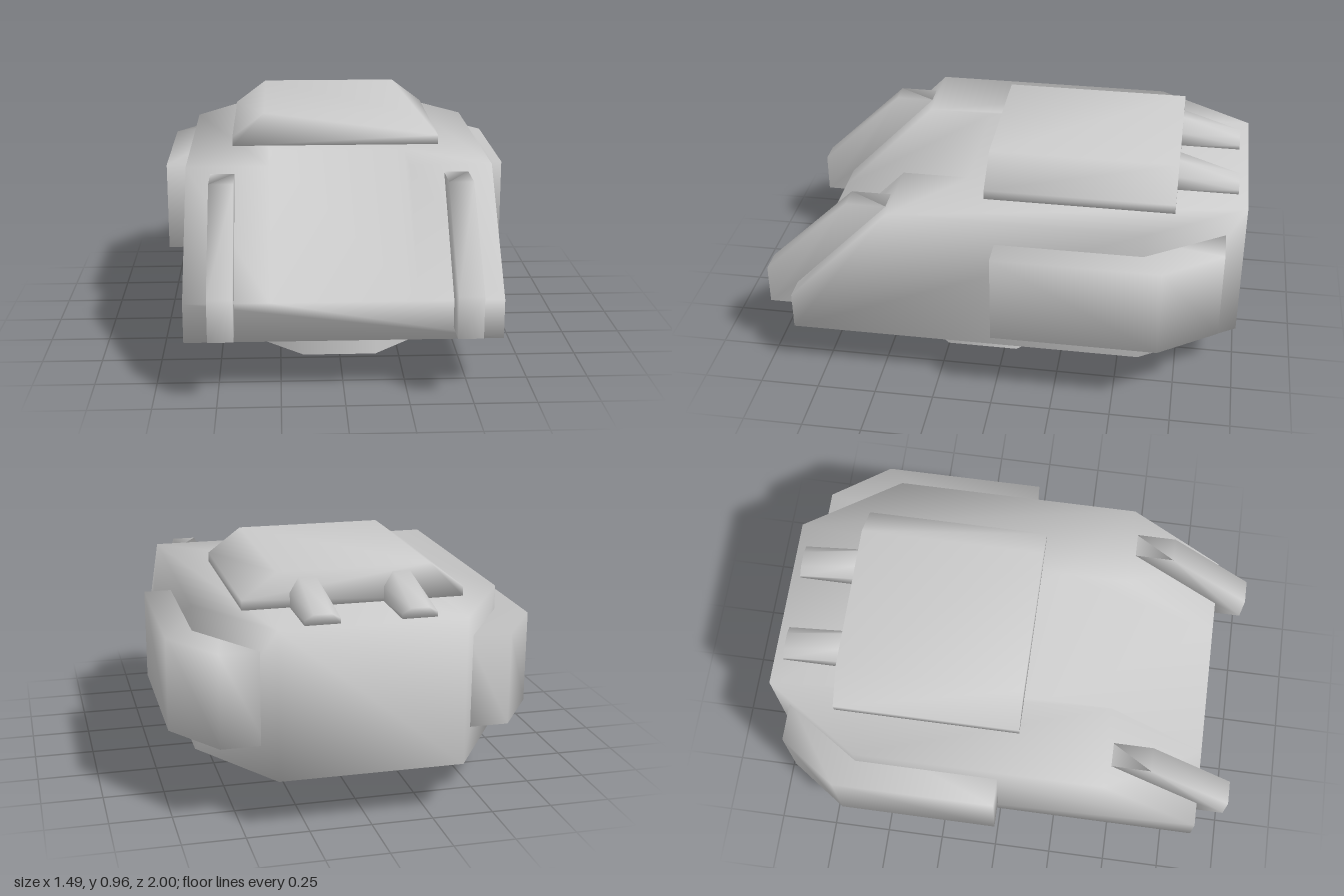
import * as THREE from 'three';
import { mergeVertices } from 'three/addons/utils/BufferGeometryUtils.js';

const material = new THREE.MeshStandardMaterial({ color: 0xcccccc });
const openMaterial = new THREE.MeshStandardMaterial({ color: 0xcccccc, side: THREE.DoubleSide });

// Share corners so the normals run smoothly over the whole part
function smooth(geometry) {
  geometry.deleteAttribute('normal');
  geometry.deleteAttribute('uv');
  const merged = mergeVertices(geometry, 1e-4);
  merged.computeVertexNormals();
  return merged;
}

// Fan-triangulate a list of convex polygons, corners counter-clockwise from outside
function fromPolygons(polygons) {
  const positions = [];
  for (const p of polygons) {
    for (let i = 1; i < p.length - 1; i++) positions.push(...p[0], ...p[i], ...p[i + 1]);
  }
  const geometry = new THREE.BufferGeometry();
  geometry.setAttribute('position', new THREE.Float32BufferAttribute(positions, 3));
  return smooth(geometry);
}

// Straight prism along +z from an outline in x and y
function prism(points, depth) {
  const shape = new THREE.Shape(points.map(([x, y]) => new THREE.Vector2(x, y)));
  return new THREE.ExtrudeGeometry(shape, { depth, bevelEnabled: false });
}

function hullGeometry() {
  const corners = {
    noseLow: [0.63, 0.22, 0.87], noseHigh: [0.63, 0.38, 0.87], brow: [0.63, 0.82, 0.44],
    sideHigh: [0.63, 0.82, -0.6], sideLow: [0.63, 0.22, -0.6],
    tailHigh: [0.37, 0.82, -1], tailLow: [0.37, 0.22, -1],
    grooveNose: [0.29, 0.38, 0.87], grooveBrow: [0.29, 0.82, 0.44], grooveEnd: [0.29, 0.82, 0.16],
  };
  const at = (name, s) => [corners[name][0] * s, corners[name][1], corners[name][2]];
  const polygons = [];
  // Faces that occur on both sides
  const sideFaces = [
    ['noseLow', 'sideLow', 'sideHigh', 'brow', 'noseHigh'],
    ['sideLow', 'tailLow', 'tailHigh', 'sideHigh'],
    ['noseHigh', 'brow', 'grooveBrow', 'grooveNose'],
    ['brow', 'sideHigh', 'tailHigh', 'grooveEnd', 'grooveBrow'],
    ['grooveNose', 'grooveBrow', 'grooveEnd'],
  ];
  for (const s of [1, -1]) {
    for (const face of sideFaces) {
      const p = face.map((name) => at(name, s));
      polygons.push(s > 0 ? p : p.reverse());
    }
  }
  // Faces across the middle: left half forwards, right half mirrored back
  const middleFaces = [
    ['grooveNose', 'grooveEnd'],
    ['grooveEnd', 'tailHigh'],
    ['tailHigh', 'tailLow'],
    ['tailLow', 'sideLow', 'noseLow'],
    ['noseLow', 'noseHigh', 'grooveNose'],
  ];
  for (const face of middleFaces) {
    polygons.push([
      ...face.map((name) => at(name, 1)),
      ...[...face].reverse().map((name) => at(name, -1)),
    ]);
  }
  return fromPolygons(polygons);
}

// Chamfered vent that drops towards the tail
function ventGeometry() {
  const section = (h, z) => [[0.07, 0], [0.07, 0.5 * h], [0.035, h], [-0.035, h], [-0.07, 0.5 * h], [-0.07, 0]]
    .map(([x, y]) => [x, 0.82 + y, z]);
  const front = section(0.12, -0.71);
  const back = section(0.04, -0.96);
  const polygons = [front, [...back].reverse()];
  for (let i = 0; i < front.length; i++) {
    const j = (i + 1) % front.length;
    polygons.push([front[i], back[i], back[j], front[j]]);
  }
  return fromPolygons(polygons);
}

export function createModel() {
  const model = new THREE.Group();
  model.name = 'turret';
  const add = (name, geometry, mat = material) => {
    const mesh = new THREE.Mesh(geometry, mat);
    mesh.name = name;
    model.add(mesh);
    return mesh;
  };

  add('hull', hullGeometry());

  // Open eight-sided mounting ring
  const ring = new THREE.CylinderGeometry(0.4, 0.4, 0.22, 8, 1, true, Math.PI / 8);
  add('mountingRing', ring, openMaterial).position.set(0, 0.11, 0.1);

  // Raised roof plate with bevelled sides
  const roof = prism([[-0.45, 0.82], [0.45, 0.82], [0.45, 0.86], [0.31, 0.965], [-0.31, 0.965], [-0.45, 0.86]], 0.78);
  add('roofPlate', smooth(roof.translate(0, 0, -0.71)));

  for (const s of [1, -1]) {
    const side = s > 0 ? 'left' : 'right';

    // Side pod, outline seen from above
    const pod = prism([[0.4, 0], [0.745, 0], [0.745, 0.68], [0.58, 0.92], [0.4, 0.92]].map(([x, y]) => [x * s, y]), 0.38);
    add(side + 'SidePod', smooth(pod.rotateX(-Math.PI / 2).translate(0, 0.34, 0)));

    // Front rail, outline seen from the side
    const rail = prism([[-0.87, 0.27], [-1, 0.27], [-1, 0.44], [-0.63, 0.795], [-0.46, 0.795], [-0.87, 0.38]], 0.1);
    add(side + 'FrontRail', smooth(rail.rotateY(Math.PI / 2).translate(0.48 * s - 0.05, 0, 0)));

    add(side + 'RearVent', ventGeometry()).position.x = 0.19 * s;
  }
  return model;
}
